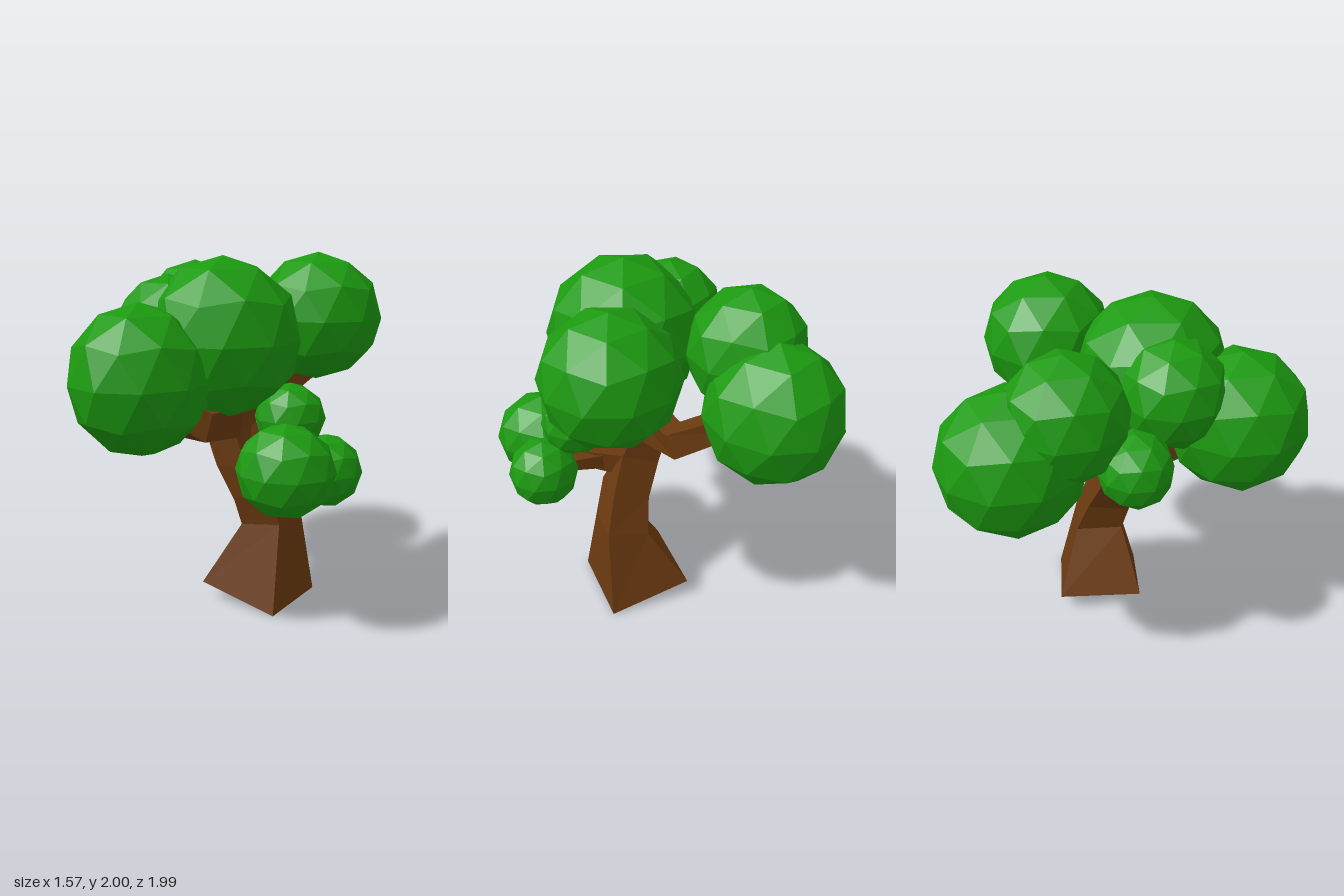
import * as THREE from 'three';

const bark = new THREE.MeshStandardMaterial({ color: 0x6b3a10, flatShading: true });
const leaf = new THREE.MeshStandardMaterial({ color: 0x1c9a10, flatShading: true });

// Closed faceted solid through four-cornered rings
function loft(rings) {
  const pos = [];
  const quad = (a, b, c, d) => pos.push(...a, ...b, ...c, ...a, ...c, ...d);
  for (let k = 0; k < rings.length - 1; k++) {
    for (let i = 0; i < 4; i++) {
      const j = (i + 1) % 4;
      quad(rings[k][i], rings[k][j], rings[k + 1][j], rings[k + 1][i]);
    }
  }
  quad(...[...rings[0]].reverse());
  quad(...rings[rings.length - 1]);
  const geo = new THREE.BufferGeometry();
  geo.setAttribute('position', new THREE.Float32BufferAttribute(pos, 3));
  geo.computeVertexNormals();
  return geo;
}

// Square-section limb along a bent path, tapering from w0 to w1
function limb(path, w0, w1) {
  const pts = path.map((p) => new THREE.Vector3(...p));
  const last = pts.length - 1;
  return loft(pts.map((p, k) => {
    const dir = pts[Math.min(k + 1, last)].clone().sub(pts[Math.max(k - 1, 0)]).normalize();
    const side = new THREE.Vector3(0, 1, 0).cross(dir).normalize();
    const up = dir.clone().cross(side);
    const h = THREE.MathUtils.lerp(w0, w1, k / last) / 2;
    return [[-1, -1], [1, -1], [1, 1], [-1, 1]].map(([s, u]) =>
      p.clone().addScaledVector(side, s * h).addScaledVector(up, u * h).toArray());
  }));
}

export function createModel() {
  const tree = new THREE.Group();
  tree.name = 'tree';
  const add = (name, geo, mat) => {
    const mesh = new THREE.Mesh(geo, mat);
    mesh.name = name;
    tree.add(mesh);
    return mesh;
  };

  // Trunk: rings run front -x, front +x, back +x, back -x
  add('trunk', loft([
    [[-0.145, 0.1, 0.1], [0.33, 0, 0.14], [0.37, 0, -0.34], [-0.1, 0.1, -0.38]],
    [[0.07, 0.47, 0.02], [0.305, 0.5, 0.015], [0.335, 0.51, -0.22], [0.1, 0.46, -0.25]],
    [[0.04, 0.62, 0.055], [0.24, 0.71, 0.055], [0.26, 0.75, -0.15], [0.06, 0.66, -0.18]],
    [[-0.06, 0.82, 0.08], [0.125, 0.83, 0.08], [0.18, 0.93, -0.09], [-0.03, 0.85, -0.12]],
    [[-0.12, 1.0, 0.09], [0.05, 1.06, 0.09], [0.09, 1.09, -0.08], [-0.1, 1.03, -0.1]],
    [[-0.06, 1.25, 0.13], [0.07, 1.25, 0.13], [0.07, 1.27, 0.0], [-0.06, 1.27, 0.0]],
  ]), bark);

  // Branches
  add('backBranch', limb([[-0.02, 1.07, 0.02], [-0.05, 1.11, -0.3], [-0.36, 1.3, -0.5]], 0.18, 0.12), bark);
  add('frontBranch', limb([[-0.02, 1.07, -0.02], [0.05, 1.14, 0.47], [-0.18, 1.32, 0.6]], 0.18, 0.12), bark);
  add('sideBranch', limb([[0, 1.08, 0], [0.17, 1.22, -0.2], [0.36, 1.4, -0.4]], 0.14, 0.09), bark);
  add('lowBranch', limb([[0.1, 0.84, -0.02], [0.28, 0.87, 0.08], [0.46, 0.92, 0.25]], 0.14, 0.08), bark);
  add('lowBackTwig', limb([[0.22, 0.86, 0.04], [0.4, 0.88, 0.05], [0.56, 0.88, 0.06]], 0.09, 0.05), bark);

  // Foliage balls: name, centre, radii, turn about y in degrees
  const ball = new THREE.IcosahedronGeometry(1, 1).rotateZ(-Math.atan(2 / (1 + Math.sqrt(5))));
  const foliage = [
    ['crownFoliage', [0.035, 1.56, 0.175], [0.425, 0.435, 0.425], -8],
    ['frontFoliage', [-0.217, 1.377, 0.6], [0.373, 0.398, 0.39], 0],
    ['backFoliage', [-0.433, 1.377, -0.61], [0.373, 0.398, 0.39], 0],
    ['sideFoliage', [0.357, 1.645, -0.35], [0.363, 0.357, 0.355], -8],
    ['innerBackFoliage', [-0.43, 1.6, -0.335], [0.325, 0.345, 0.33], 4],
    ['innerFrontFoliage', [-0.27, 1.6, 0.23], [0.29, 0.295, 0.29], 14],
    ['smallFoliage', [-0.57, 1.36, -0.01], [0.205, 0.2, 0.195], 0],
    ['lowFrontFoliage', [0.485, 0.925, 0.34], [0.265, 0.25, 0.245], 0],
    ['lowBackFoliage', [0.595, 0.873, 0.06], [0.193, 0.198, 0.19], 0],
    ['lowUpperFoliage', [0.385, 1.145, 0.07], [0.193, 0.187, 0.185], 0],
  ];
  for (const [name, centre, radii, turn] of foliage) {
    const mesh = add(name, ball, leaf);
    mesh.position.set(...centre);
    mesh.scale.set(...radii);
    mesh.rotation.y = THREE.MathUtils.degToRad(turn);
  }
  return tree;
}
